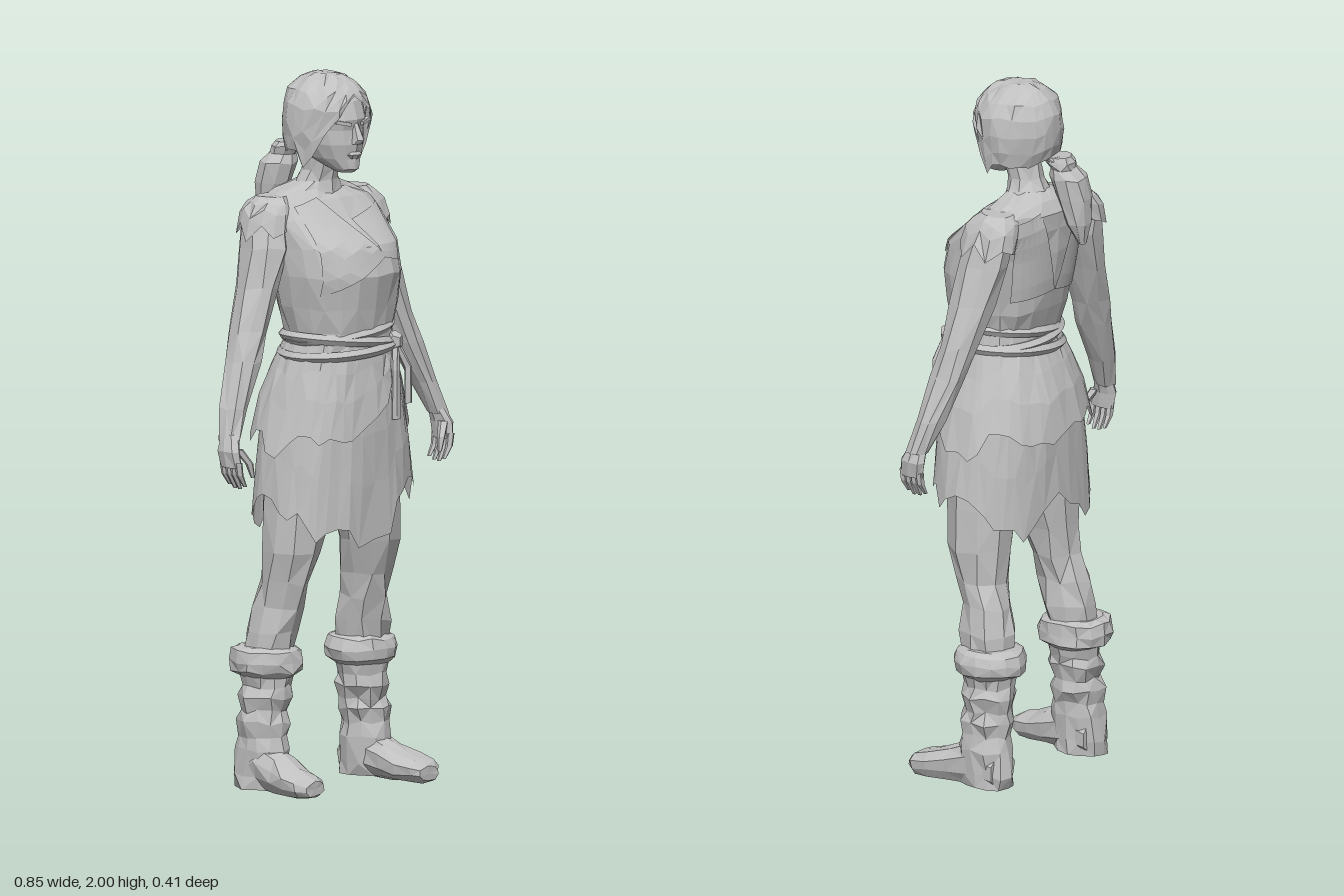
import * as THREE from 'three';

const clay = new THREE.MeshStandardMaterial({ color: 0xc0c0c0, side: THREE.DoubleSide });
clay.name = 'clay grey';

let seed = 7;
const rand = () => ((seed = (seed * 16807) % 2147483647) / 2147483647) - 0.5;

// Profile row: [y, x centre, z centre, x radius, z radius], listed from top to bottom
function sample(profile, y) {
  let i = 0;
  while (i < profile.length - 2 && y < profile[i + 1][0]) i++;
  const a = profile[i], b = profile[i + 1];
  const t = THREE.MathUtils.clamp((y - a[0]) / (b[0] - a[0]), 0, 1);
  return a.map((v, k) => v + (b[k] - v) * t);
}

// Ragged edge height around the body; 0 degrees is the front, positive is the model's left
function ragged(knots, tear = 0.02) {
  return (angle) => {
    let d = THREE.MathUtils.radToDeg(angle);
    if (d > 180) d -= 360;
    let i = 0;
    while (i < knots.length - 2 && d > knots[i + 1][0]) i++;
    const [d0, y0] = knots[i], [d1, y1] = knots[i + 1];
    return THREE.MathUtils.lerp(y0, y1, (d - d0) / (d1 - d0)) + rand() * tear;
  };
}

function facet(positions, index) {
  const indexed = new THREE.BufferGeometry();
  indexed.setAttribute('position', new THREE.Float32BufferAttribute(positions, 3));
  indexed.setIndex(index);
  const g = indexed.toNonIndexed();
  g.computeVertexNormals();
  return g;
}

// Faceted loft; with a hem the bottom edge is open and ragged. A power below 1 squares the section
function loft(profile, n, { hem = null, jitter = 0.004, power = 1 } = {}) {
  const pos = [], index = [], rows = profile.length;
  const top = profile[0][0], last = profile[rows - 1][0];
  const ends = Array.from({ length: n }, (_, j) => (hem ? hem((j / n) * Math.PI * 2) : last));
  const round = (v) => Math.sign(v) * Math.abs(v) ** power;
  for (let i = 0; i < rows; i++) {
    for (let j = 0; j < n; j++) {
      const a = (j / n) * Math.PI * 2;
      const y = top + ((profile[i][0] - top) * (ends[j] - top)) / (last - top);
      const [, x, z, rx, rz] = hem ? sample(profile, y) : profile[i];
      const edge = i === 0 || i === rows - 1 ? 0.3 : 1;
      pos.push(x + round(Math.sin(a)) * rx + rand() * jitter * 2,
        y + rand() * jitter * 2 * edge, z + round(Math.cos(a)) * rz + rand() * jitter * 2);
      if (i === rows - 1) continue;
      const A = i * n + j, B = i * n + ((j + 1) % n), C = A + n, D = B + n;
      if ((i + j) % 2) index.push(A, C, D, A, D, B);
      else index.push(A, C, B, B, C, D);
    }
  }
  const cap = (row, flip) => {
    const c = pos.length / 3, [y, x, z] = profile[row];
    pos.push(x, y, z);
    for (let j = 0; j < n; j++) {
      const p = row * n + j, q = row * n + ((j + 1) % n);
      index.push(c, flip ? q : p, flip ? p : q);
    }
  };
  cap(0, false);
  if (!hem) cap(rows - 1, true);
  return facet(pos, index);
}

const torsoPower = 0.85;
const torsoProfile = [
  [1.7, 0, -0.05, 0.055, 0.05], [1.678, 0, -0.065, 0.12, 0.07], [1.65, 0, -0.06, 0.185, 0.092],
  [1.6, 0, -0.035, 0.195, 0.12], [1.53, 0, 0.012, 0.182, 0.16], [1.45, 0, 0.03, 0.175, 0.168],
  [1.36, 0, 0.033, 0.162, 0.152], [1.29, 0, 0.04, 0.148, 0.135], [1.2, 0, 0.035, 0.162, 0.135]];

// Four-cornered cloth panel draped over the torso; corners run TL, TR, BR, BL in x and y
function drape([tl, tr, br, bl], side) {
  const pos = [], index = [], n = 6;
  for (let i = 0; i <= n; i++) for (let j = 0; j <= n; j++) {
    const u = j / n, v = i / n;
    const mix = (k) => (tl[k] * (1 - u) + tr[k] * u) * (1 - v) + (bl[k] * (1 - u) + br[k] * u) * v;
    const x = mix(0), y = mix(1), [, cx, cz, rx, rz] = sample(torsoProfile, y);
    const t = Math.min(1, Math.abs(x - cx) / rx);
    pos.push(x, y, cz + side * (rz * (1 - t ** (2 / torsoPower)) ** (torsoPower / 2) + 0.008));
    if (i < n && j < n) {
      const A = i * (n + 1) + j, C = A + n + 1;
      index.push(A, C, C + 1, A, C + 1, A + 1);
    }
  }
  return facet(pos, index);
}

export function createModel() {
  const model = new THREE.Group();
  model.name = 'tunicFigure';
  const add = (name, geometry) => {
    const m = new THREE.Mesh(geometry, clay);
    m.name = name;
    model.add(m);
    return m;
  };

  // Head, neck and face
  add('head', loft([
    [1.98, 0, -0.02, 0.05, 0.05], [1.93, 0, -0.01, 0.09, 0.11], [1.88, 0, 0, 0.092, 0.118],
    [1.85, 0, 0, 0.088, 0.11], [1.81, 0, 0.005, 0.082, 0.11], [1.77, 0, 0.025, 0.062, 0.085],
    [1.74, 0, 0.06, 0.035, 0.05], [1.73, 0, 0.065, 0.022, 0.03]], 14, { jitter: 0.001 }));
  add('neck', loft([
    [1.79, 0, -0.02, 0.05, 0.055], [1.73, 0, -0.035, 0.047, 0.052], [1.7, 0, -0.045, 0.06, 0.058],
    [1.65, 0, -0.05, 0.1, 0.07]], 10));
  add('nose', loft([
    [1.87, 0, 0.105, 0.008, 0.012], [1.825, 0, 0.12, 0.015, 0.023], [1.812, 0, 0.11, 0.018, 0.02]],
    6, { jitter: 0 }));
  add('lips', loft([
    [1.79, 0, 0.1, 0.018, 0.015], [1.782, 0, 0.102, 0.026, 0.019], [1.77, 0, 0.1, 0.015, 0.014]],
    8, { jitter: 0 }));
  for (const s of [-1, 1]) {
    const brow = add('brow', new THREE.BoxGeometry(0.045, 0.01, 0.02));
    brow.position.set(s * 0.04, 1.872, 0.1);
    brow.rotation.set(0, s * 0.35, s * 0.2);
  }

  // Hair with parted fringe, side locks and ponytail
  add('hair', loft([
    [2, 0, -0.015, 0.03, 0.035], [1.985, 0, -0.018, 0.07, 0.08], [1.95, 0, -0.012, 0.108, 0.115],
    [1.9, 0, -0.007, 0.123, 0.13], [1.84, 0, -0.012, 0.122, 0.124], [1.78, 0, -0.01, 0.115, 0.105],
    [1.73, 0, -0.01, 0.108, 0.08]], 24, { hem: ragged([
    [-180, 1.79], [-115, 1.78], [-95, 1.81], [-75, 1.75], [-55, 1.8], [-40, 1.87], [-12, 1.925],
    [10, 1.94], [35, 1.88], [55, 1.81], [75, 1.75], [95, 1.8], [115, 1.78], [180, 1.79]]) }));
  add('ponytail', loft([
    [1.8, -0.02, -0.11, 0.03, 0.03], [1.775, -0.04, -0.135, 0.035, 0.03], [1.74, -0.05, -0.148, 0.055, 0.055],
    [1.68, -0.058, -0.163, 0.052, 0.05], [1.61, -0.06, -0.178, 0.04, 0.034],
    [1.55, -0.06, -0.19, 0.012, 0.012]], 9));
  add('hairTie', loft([
    [1.8, -0.035, -0.125, 0.035, 0.035], [1.785, -0.038, -0.13, 0.044, 0.042],
    [1.765, -0.042, -0.137, 0.04, 0.038]], 9));

  // Tunic with crossed front panels and a low V at the back
  add('tunic', loft(torsoProfile, 20, { jitter: 0.005, power: torsoPower }));
  add('frontLapel', drape([[0.0, 1.6], [0.15, 1.63], [0.1, 1.485], [0.035, 1.5]], 1));
  add('frontWrap', drape([[-0.15, 1.64], [-0.07, 1.66], [0.04, 1.5], [-0.15, 1.4]], 1));
  add('backPanel', drape([[0.07, 1.66], [0.15, 1.64], [0.13, 1.4], [0, 1.42]], -1));
  add('backPanel', drape([[-0.07, 1.66], [-0.15, 1.64], [-0.13, 1.4], [0, 1.42]], -1));

  // Layered ragged skirt
  add('lowerSkirt', loft([
    [1.25, 0, 0.035, 0.15, 0.13], [1.1, 0, 0.02, 0.195, 0.165], [1, 0, 0.018, 0.212, 0.17],
    [0.85, 0, 0.018, 0.235, 0.17], [0.68, 0, 0.018, 0.25, 0.172]], 40, { power: 0.8, hem: ragged([
    [-180, 0.83], [-155, 0.73], [-125, 0.76], [-95, 0.86], [-80, 0.79], [-60, 0.79], [-42, 0.72],
    [-20, 0.75], [-8, 0.69], [8, 0.72], [16, 0.8], [30, 0.86], [60, 0.85], [75, 0.79],
    [95, 0.86], [125, 0.77], [155, 0.73], [180, 0.83]], 0.035) }));
  add('upperSkirt', loft([
    [1.26, 0, 0.038, 0.155, 0.135], [1.17, 0, 0.025, 0.186, 0.16], [1.08, 0, 0.014, 0.216, 0.182],
    [0.95, 0, 0.008, 0.25, 0.192]], 40, { power: 0.88, hem: ragged([
    [-180, 1.0], [-145, 1.05], [-120, 0.99], [-100, 1.02], [-85, 0.95], [-65, 1.01], [-45, 1.0],
    [-12, 1.01], [5, 1.07], [25, 1.19], [50, 1.2], [62, 1.03], [80, 0.98], [100, 0.96],
    [120, 1.04], [145, 1.0], [180, 1.0]], 0.03) }));

  // Rope belt, knot and hanging ends
  [[1.29, 0.152, 0.02], [1.265, 0.158, -0.015], [1.24, 0.163, 0.015]].forEach(([y, rx, tilt]) => {
    const points = Array.from({ length: 16 }, (_, i) => {
      const a = (i / 16) * Math.PI * 2;
      return new THREE.Vector3(Math.sin(a) * rx, y + Math.sin(a) * tilt, 0.038 + Math.cos(a) * (rx - 0.017));
    });
    const tube = new THREE.TubeGeometry(new THREE.CatmullRomCurve3(points, true), 32, 0.015, 5, true).toNonIndexed();
    tube.computeVertexNormals();
    add('belt', tube);
  });
  add('beltKnot', new THREE.DodecahedronGeometry(0.03)).position.set(0.1, 1.255, 0.155);
  [[0.085, 1.04], [0.135, 1.08]].forEach(([x, low]) => add('beltEnd', loft([
    [1.25, 0.1, 0.165, 0.012, 0.01], [1.18, x, 0.178, 0.014, 0.01],
    [low, x, 0.18, 0.013, 0.01]], 5, { jitter: 0.003 })));

  // Arms, hands, legs and boots on both sides
  for (const s of [-1, 1]) {
    const limb = (name, profile, n, options) =>
      add(name, loft(profile.map(([y, x, ...rest]) => [y, x * s, ...rest]), n, options));
    limb('arm', [
      [1.645, 0.175, -0.065, 0.035, 0.05], [1.6, 0.188, -0.065, 0.052, 0.078], [1.53, 0.198, -0.052, 0.057, 0.08],
      [1.42, 0.232, -0.042, 0.054, 0.066], [1.3, 0.278, -0.03, 0.047, 0.056], [1.22, 0.31, -0.02, 0.045, 0.053],
      [1.1, 0.362, 0, 0.033, 0.04], [1.01, 0.396, 0.018, 0.025, 0.032]], 9, { jitter: 0.006 });
    limb('sleeve', [
      [1.665, 0.155, -0.065, 0.04, 0.05], [1.64, 0.172, -0.065, 0.055, 0.078],
      [1.6, 0.186, -0.063, 0.06, 0.088], [1.52, 0.2, -0.055, 0.062, 0.088]], 12,
    { hem: (a) => 1.57 + 0.025 * Math.sin(a * 5) });
    limb('palm', [
      [1.03, 0.39, 0.018, 0.022, 0.028], [0.985, 0.405, 0.028, 0.022, 0.042],
      [0.94, 0.402, 0.035, 0.017, 0.04]], 8, { jitter: 0.002 });
    for (let f = 0; f < 4; f++) {
      const z = 0.005 + f * 0.02;
      limb('finger', [[0.955, 0.403, z, 0.012, 0.011], [0.92, 0.398, z, 0.011, 0.01],
        [0.875 + Math.abs(f - 1.6) * 0.008, 0.378, z, 0.006, 0.006]], 5, { jitter: 0 });
    }
    limb('thumb', [[0.99, 0.39, 0.05, 0.014, 0.016], [0.95, 0.365, 0.068, 0.012, 0.012],
      [0.91, 0.355, 0.072, 0.006, 0.006]], 5, { jitter: 0 });

    limb('leg', [
      [0.98, 0.105, 0.01, 0.1, 0.115], [0.8, 0.13, 0.01, 0.092, 0.105], [0.68, 0.145, 0.005, 0.08, 0.092],
      [0.59, 0.158, -0.01, 0.07, 0.077], [0.52, 0.163, -0.032, 0.068, 0.08], [0.45, 0.17, -0.048, 0.073, 0.08],
      [0.36, 0.18, -0.058, 0.068, 0.072]], 9, { jitter: 0.008 });
    limb('bootCuff', [
      [0.41, 0.18, -0.06, 0.07, 0.075], [0.4, 0.18, -0.06, 0.09, 0.099], [0.37, 0.18, -0.06, 0.097, 0.108],
      [0.342, 0.18, -0.06, 0.094, 0.104], [0.325, 0.18, -0.06, 0.07, 0.075]], 14, { jitter: 0.005 });
    limb('bootShaft', [
      [0.36, 0.18, -0.06, 0.078, 0.084], [0.3, 0.183, -0.06, 0.066, 0.074], [0.27, 0.185, -0.06, 0.073, 0.08],
      [0.23, 0.188, -0.06, 0.061, 0.068], [0.2, 0.19, -0.06, 0.07, 0.077], [0.16, 0.193, -0.06, 0.059, 0.07],
      [0.12, 0.196, -0.06, 0.066, 0.082], [0.05, 0.198, -0.065, 0.062, 0.085],
      [0.012, 0.198, -0.065, 0.06, 0.082]], 12, { jitter: 0.007 });
    const foot = limb('bootFoot', [
      [0.175, 0.217, -0.034, 0.035, 0.022], [0.15, 0.22, -0.039, 0.055, 0.034], [0.1, 0.214, -0.045, 0.063, 0.041],
      [0.04, 0.206, -0.058, 0.06, 0.053], [-0.03, 0.2, -0.07, 0.056, 0.066],
      [-0.12, 0.197, -0.06, 0.05, 0.053]], 10, { jitter: 0.004, power: 0.9 });
    foot.geometry.rotateX(Math.PI / 2);
    // Flat sole
    const p = foot.geometry.attributes.position;
    for (let i = 0; i < p.count; i++) p.setY(i, Math.max(0, p.getY(i)));
    foot.geometry.computeVertexNormals();
  }
  return model;
}
